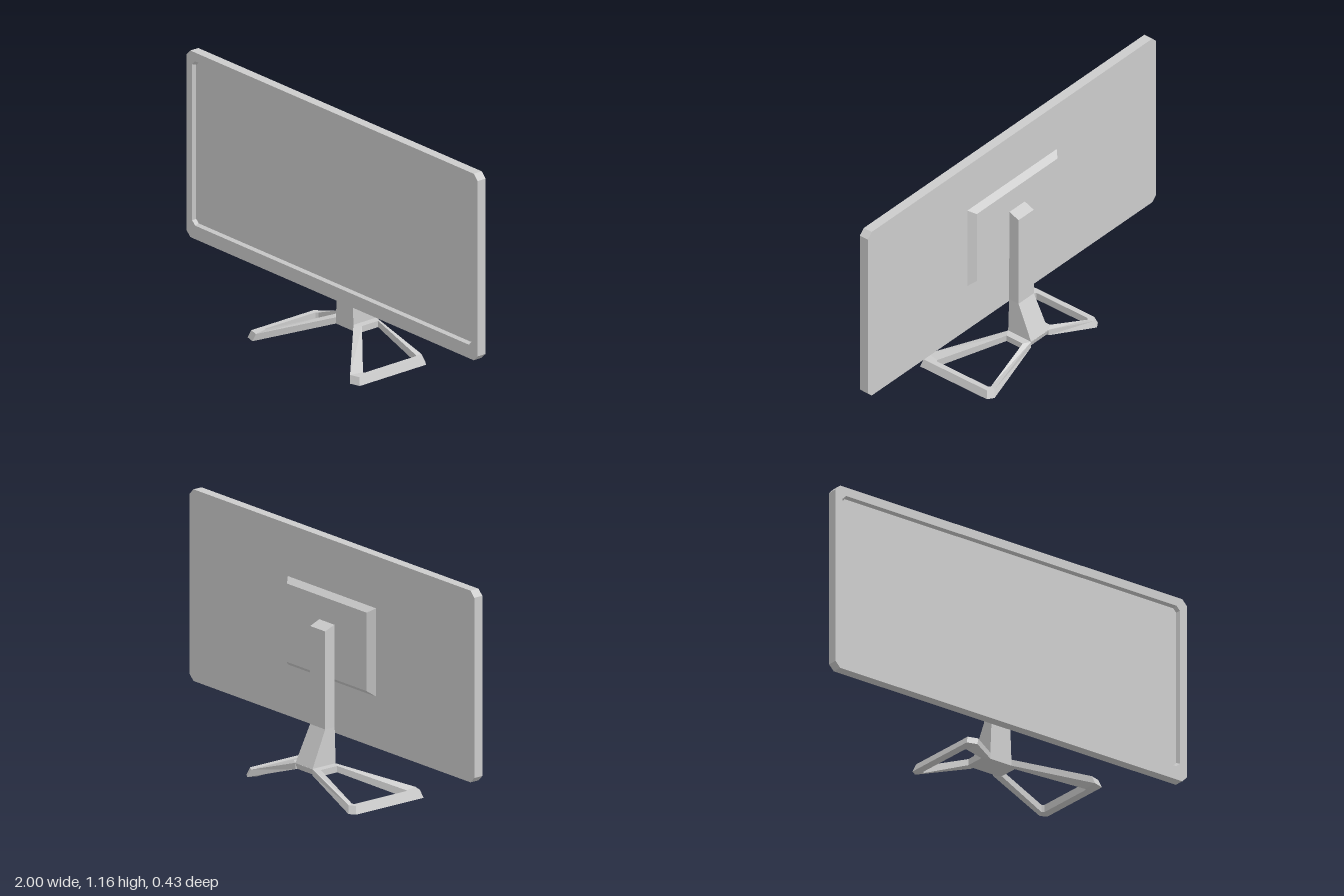
import * as THREE from 'three';

const material = new THREE.MeshStandardMaterial({ color: 0xcccccc, flatShading: true });

// Skin a list of cross-sections; either join the ends or cap them.
function loft(name, sections, closed = false, flip = false) {
  const pos = [];
  const tri = (a, b, c) => pos.push(...a, ...(flip ? c : b), ...(flip ? b : c));
  const n = sections[0].length, count = sections.length;
  for (let i = 0; i < (closed ? count : count - 1); i++) {
    const a = sections[i], b = sections[(i + 1) % count];
    for (let k = 0; k < n; k++) {
      const m = (k + 1) % n;
      tri(a[k], a[m], b[m]);
      tri(a[k], b[m], b[k]);
    }
  }
  if (!closed) {
    const first = sections[0], last = sections[count - 1];
    for (let k = 1; k < n - 1; k++) {
      tri(first[0], first[k + 1], first[k]);
      tri(last[0], last[k], last[k + 1]);
    }
  }
  const geometry = new THREE.BufferGeometry();
  geometry.setAttribute('position', new THREE.Float32BufferAttribute(pos, 3));
  geometry.computeVertexNormals();
  const mesh = new THREE.Mesh(geometry, material);
  mesh.name = name;
  return mesh;
}

// Upright rectangle with cut corners
const cutRect = (w, y0, y1, c, z) => [
  [w, y0 + c, z], [w, y1 - c, z], [w - c, y1, z], [-w + c, y1, z],
  [-w, y1 - c, z], [-w, y0 + c, z], [-w + c, y0, z], [w - c, y0, z],
];

// Upright plain rectangle
const rect = (w, y0, y1, z) => [[w, y0, z], [w, y1, z], [-w, y1, z], [-w, y0, z]];

// Horizontal rectangle, optionally tilted towards the back
const slab = (w, zf, zb, yf, yb = yf) => [[w, yf, zf], [w, yb, zb], [-w, yb, zb], [-w, yf, zf]];

export function createModel() {
  const model = new THREE.Group();
  model.name = 'monitor';

  // Display housing with its recessed screen
  model.add(loft('display', [
    cutRect(1, 0.26, 1.16, 0.027, -0.017),
    cutRect(1, 0.26, 1.16, 0.027, 0.03),
    cutRect(0.96, 0.325, 1.118, 0.02, 0.03),
    cutRect(0.952, 0.333, 1.11, 0.017, 0.013),
  ]));

  // Bevelled mounting plate on the back
  model.add(loft('mountPlate', [
    rect(0.28, 0.525, 0.893, -0.047),
    rect(0.31, 0.5, 0.915, -0.017),
  ]));

  // Upright with a flared foot and sloping top
  model.add(loft('stem', [
    slab(0.06, -0.045, -0.18, 0.13),
    slab(0.053, -0.045, -0.1, 0.3),
    slab(0.053, -0.045, -0.1, 0.782, 0.76),
  ]));

  // Hub joining the two feet
  model.add(loft('hub', [
    slab(0.06, -0.045, -0.17, 0.102),
    slab(0.06, -0.045, -0.18, 0.132),
  ]));

  // Open foot loops: outer x, z, inner x, z, and whether the corner is at the hub
  const corners = [
    [0.06, -0.18, 0.095, -0.16, true],
    [0.355, -0.215, 0.335, -0.177, false],
    [0.385, -0.195, 0.345, -0.168, false],
    [0.385, 0.197, 0.345, 0.13, false],
    [0.335, 0.212, 0.337, 0.137, false],
    [0.06, -0.045, 0.095, -0.065, true],
  ];
  for (const side of [1, -1]) {
    const sections = corners.map(([ox, oz, ix, iz, atHub]) => {
      const top = atHub ? 0.132 : 0.036, bottom = atHub ? 0.102 : 0;
      const sx = atHub ? 1 : 0.965, sz = atHub ? 1 : 0.95;
      return [
        [side * ox * sx, top, oz * sz],
        [side * ix, top, iz],
        [side * ix, bottom, iz],
        [side * ox, bottom, oz],
      ];
    });
    model.add(loft(side > 0 ? 'leftFoot' : 'rightFoot', sections, true, side < 0));
  }

  return model;
}
